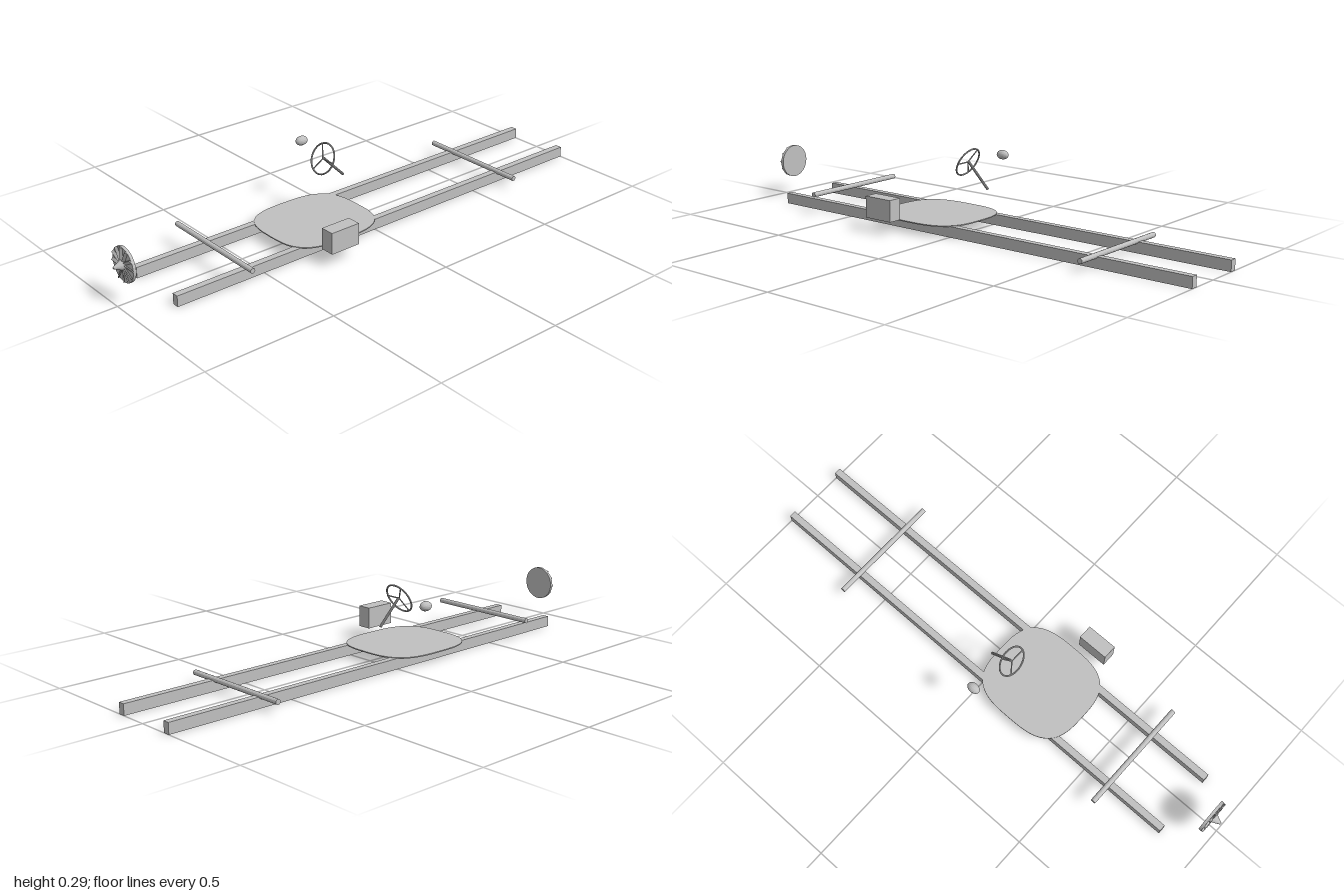
import * as THREE from 'three';

export function createModel() {
  const model = new THREE.Group();
  const grey = new THREE.MeshStandardMaterial({ color: 0xc0c0c0, flatShading: true });
  grey.name = 'plain grey';
  const add = (name, geometry, x, y, z, parent = model) => {
    const mesh = new THREE.Mesh(geometry, grey);
    mesh.name = name;
    mesh.position.set(x, y, z);
    parent.add(mesh);
    return mesh;
  };
  const midX = -0.007;

  // Two long chassis rails
  for (const side of [-1, 1]) {
    add(side > 0 ? 'leftRail' : 'rightRail', new THREE.BoxGeometry(0.026, 0.041, 1.852),
      midX + side * 0.124, 0.0205, -0.074);
  }

  // Axles
  for (const [name, y, z] of [['frontAxle', 0.084, 0.61], ['rearAxle', 0.043, -0.631]]) {
    add(name, new THREE.CylinderGeometry(0.0098, 0.0098, 0.448, 12), midX, y, z)
      .rotation.z = Math.PI / 2;
  }

  // Thin rounded floor pan
  const outline = [];
  for (let i = 0; i < 64; i++) {
    const a = i / 64 * Math.PI * 2;
    const c = Math.cos(a), s = Math.sin(a);
    const p = 2 / 3.1;
    outline.push(new THREE.Vector2(
      0.182 * Math.sign(c) * Math.abs(c) ** p,
      0.201 * Math.sign(s) * Math.abs(s) ** p));
  }
  const pan = new THREE.ExtrudeGeometry(new THREE.Shape(outline), { depth: 0.004, bevelEnabled: false });
  pan.rotateX(-Math.PI / 2);
  add('floorPan', pan, midX, 0.039, 0.171);

  // Side box
  add('sideBox', new THREE.BoxGeometry(0.054, 0.081, 0.12), 0.223, 0.0905, 0.24);

  // Front fan: disc, pitched blades and nose cone
  const fan = new THREE.Group();
  fan.name = 'fan';
  fan.position.set(midX, 0.139, 0.958);
  model.add(fan);
  add('fanDisc', new THREE.CylinderGeometry(0.064, 0.064, 0.011, 32), 0, 0, 0, fan)
    .rotation.x = Math.PI / 2;
  for (let i = 0; i < 12; i++) {
    const arm = new THREE.Group();
    arm.name = 'fanBlade';
    arm.rotation.z = i / 12 * Math.PI * 2;
    fan.add(arm);
    add('blade', new THREE.BoxGeometry(0.046, 0.016, 0.004), 0.04, 0, 0.006, arm)
      .rotation.x = 0.6;
  }
  add('noseCone', new THREE.CylinderGeometry(0.003, 0.021, 0.037, 16), 0, 0, 0.0235, fan)
    .rotation.x = Math.PI / 2;

  // Tilted steering wheel with three spokes
  const wheel = new THREE.Group();
  wheel.name = 'steeringWheel';
  wheel.position.set(-0.069, 0.236, 0.08);
  wheel.rotation.x = -0.46;
  model.add(wheel);
  add('wheelRim', new THREE.TorusGeometry(0.058, 0.0032, 8, 32), 0, 0, 0, wheel);
  for (let i = 0; i < 3; i++) {
    const a = i * Math.PI * 2 / 3;
    add('wheelSpoke', new THREE.CylinderGeometry(0.0024, 0.0024, 0.058, 8),
      0.029 * Math.cos(a), 0.029 * Math.sin(a), 0, wheel).rotation.z = a - Math.PI / 2;
  }

  // Steering column, sloping down to the rear
  add('steeringColumn', new THREE.CylinderGeometry(0.005, 0.005, 0.13, 10), -0.069, 0.192, 0.031)
    .rotation.x = Math.PI / 4;

  // Egg-shaped side lamp with small flat ends
  const profile = [new THREE.Vector2(0, -0.0245)];
  for (let i = 1; i < 12; i++) {
    const a = -Math.PI / 2 + i / 12 * Math.PI;
    profile.push(new THREE.Vector2(0.018 * Math.cos(a), 0.025 * Math.sin(a)));
  }
  profile.push(new THREE.Vector2(0, 0.0245));
  add('sideLamp', new THREE.LatheGeometry(profile, 16), -0.235, 0.243, 0.047)
    .rotation.x = Math.PI / 2;

  return model;
}
